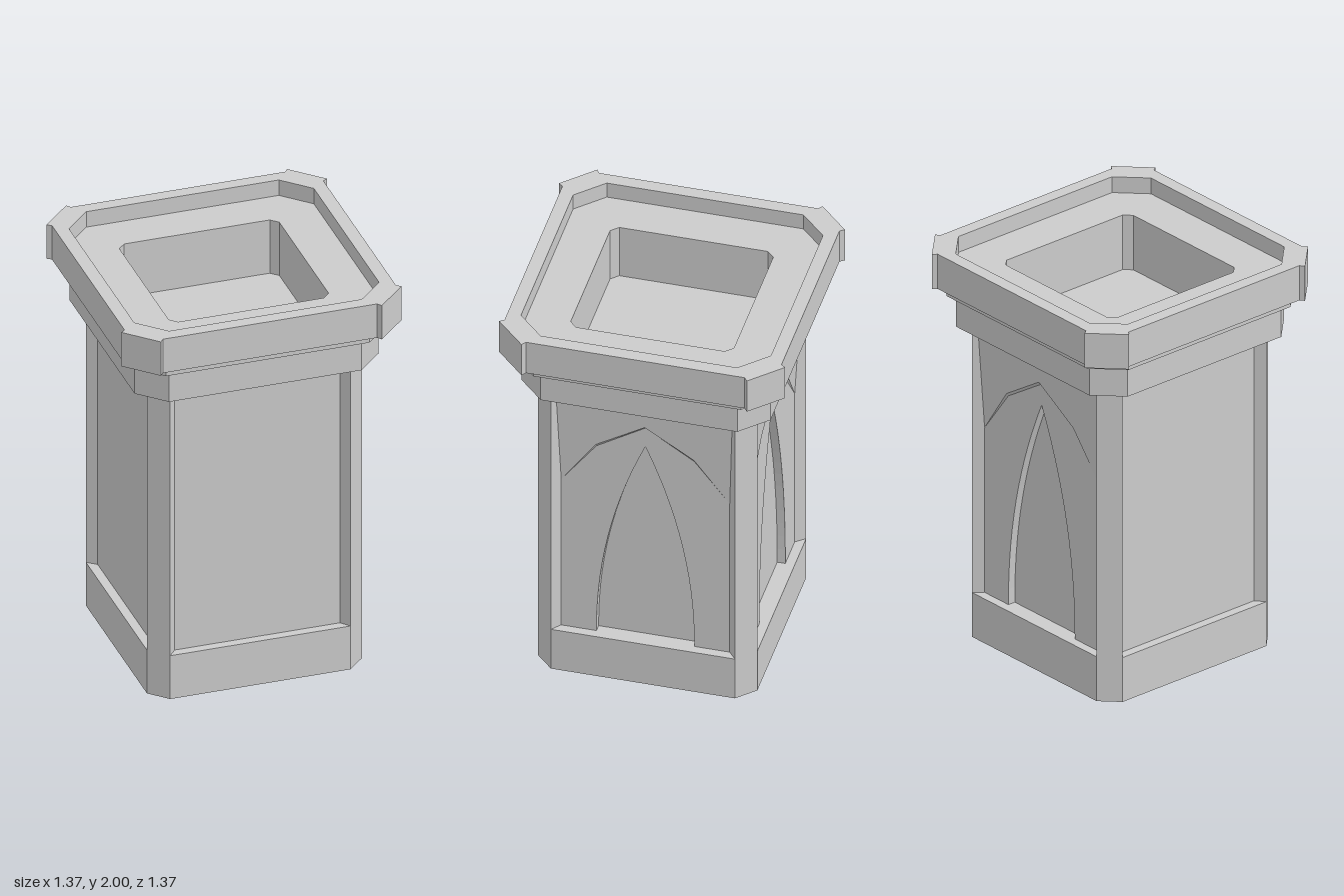
import * as THREE from 'three';

const stone = new THREE.MeshStandardMaterial({ color: 0xcccccc, flatShading: true, side: THREE.DoubleSide });

const BASE = 0.23, TOP = 1.622;     // plinth top and body top
const PANEL = 0.482, NICHE = 0.443; // depths of the panels and of the arched niches
const HALF = 0.405;                 // half width of a panel
const EDGE = 0.527, CUT = 0.442;    // half width of the plinth and where its cut corners start

function add(parent, name, geometry) {
  const mesh = new THREE.Mesh(geometry, stone);
  mesh.name = name;
  parent.add(mesh);
  return mesh;
}

// Square with cut corners: h = half width, c = where the cut starts
const octagon = (h, c) => [[c, h], [h, c], [h, -c], [c, -h], [-c, -h], [-h, -c], [-h, c], [-c, h]];

const toShape = (pts) => new THREE.Shape(pts.map(([x, y]) => new THREE.Vector2(x, y)));

// Horizontal slab between two heights, with an optional opening
function slab(parent, name, outline, hole, y0, y1) {
  const shape = toShape(outline);
  if (hole) shape.holes.push(new THREE.Path(hole.map(([x, y]) => new THREE.Vector2(x, y))));
  const geometry = new THREE.ExtrudeGeometry(shape, { depth: y1 - y0, bevelEnabled: false });
  geometry.rotateX(-Math.PI / 2).translate(0, y0, 0);
  return add(parent, name, geometry);
}

// Surface between two matching rows of [x, y, z] points
function strip(parent, name, a, b) {
  const pos = [];
  for (let i = 0; i < a.length - 1; i++) {
    pos.push(...a[i], ...a[i + 1], ...b[i + 1], ...a[i], ...b[i + 1], ...b[i]);
  }
  const geometry = new THREE.BufferGeometry();
  geometry.setAttribute('position', new THREE.Float32BufferAttribute(pos, 3));
  geometry.computeVertexNormals();
  return add(parent, name, geometry);
}

// Upright wall along a plan line of [x, z] points
const wall = (parent, name, plan, y0, y1) =>
  strip(parent, name, plan.map(([x, z]) => [x, y0, z]), plan.map(([x, z]) => [x, y1, z]));

// Flat upright sheet at depth z
const sheet = (parent, name, pts, z) =>
  add(parent, name, new THREE.ShapeGeometry(toShape(pts)).translate(0, 0, z));

const atDepth = (pts, z) => pts.map(([x, y]) => [x, y, z]);

// Pointed arch outline, from right foot over the apex to left foot
function lancet() {
  const pts = [], n = 14;
  for (let i = -n; i <= n; i++) {
    const t = 1 - Math.abs(i) / n;
    pts.push([-Math.sign(i) * 0.235 * (1 - t ** 2.1), BASE + 1.125 * t]);
  }
  return pts;
}

function addArchedPanel(side) {
  const hood = [[HALF, 1.1], [0.235, 1.33], [0, 1.48], [-0.235, 1.33], [-HALF, 1.1]];
  const hoodBack = hood.map(([x, y]) => [x, y - 0.016]);
  const niche = lancet();

  // The panel above the hood leans outwards towards the collar
  const lean = ([x, y]) => [x, y, PANEL + (y - 1.1) * 0.048];
  const head = hood.map(([x]) => lean([x * 1.047, TOP]));
  strip(side, 'upperPanel', hood.map(lean), head);
  strip(side, 'hoodUnderside', hood.map(lean), atDepth(hoodBack, PANEL));

  sheet(side, 'lowerPanel', [[HALF, BASE], ...hoodBack, [-HALF, BASE], ...niche.slice().reverse()], PANEL);
  strip(side, 'nicheReveal', atDepth(niche, PANEL), atDepth(niche, NICHE));
  sheet(side, 'nicheBack', niche, NICHE);
  strip(side, 'nicheLedge', [[-0.235, BASE, PANEL], [0.235, BASE, PANEL]], [[-0.235, BASE, NICHE], [0.235, BASE, NICHE]]);
}

export function createModel() {
  const model = new THREE.Group();
  model.name = 'chimneyPot';

  // Hollow plinth, open below
  const foot = octagon(EDGE, CUT);
  wall(model, 'plinth', [...foot, foot[0]], 0, BASE);

  // Four sides: two plain, two arched, with a chamfered post at each corner
  for (let i = 0; i < 4; i++) {
    const side = new THREE.Group();
    side.name = i === 1 || i === 2 ? 'archedSide' : 'plainSide';
    side.rotation.y = i * Math.PI / 2;
    model.add(side);

    wall(side, 'cornerPost', [[HALF, PANEL], [CUT, EDGE], [EDGE, CUT], [PANEL, HALF]], BASE, TOP);
    strip(side, 'plinthLedge', [[-CUT, BASE, EDGE], [CUT, BASE, EDGE]], [[-HALF, BASE, PANEL], [HALF, BASE, PANEL]]);
    if (side.name === 'archedSide') addArchedPanel(side);
    else sheet(side, 'plainPanel', [[-HALF, BASE], [HALF, BASE], [HALF, TOP], [-HALF, TOP]], PANEL);
  }

  // Stepped head with a square opening
  const opening = octagon(0.392, 0.357);
  const rimInside = octagon(0.6, 0.472);
  slab(model, 'collar', octagon(0.598, 0.472), opening, TOP, 1.782);
  slab(model, 'step', octagon(0.633, 0.498), opening, 1.782, 1.82);
  slab(model, 'innerLedge', rimInside, opening, 1.82, 1.918);
  slab(model, 'openingFloor', opening, null, TOP, 1.635);

  // Rim with slightly projecting corners
  const rim = [];
  for (let i = 0; i < 4; i++) {
    const c = Math.round(Math.cos(i * Math.PI / 2)), s = Math.round(Math.sin(i * Math.PI / 2));
    for (const [x, y] of [[0.665, 0.525], [0.687, 0.541], [0.541, 0.687], [0.525, 0.665]]) {
      rim.push([x * c - y * s, x * s + y * c]);
    }
  }
  slab(model, 'rim', rim, rimInside, 1.82, 2);

  return model;
}
